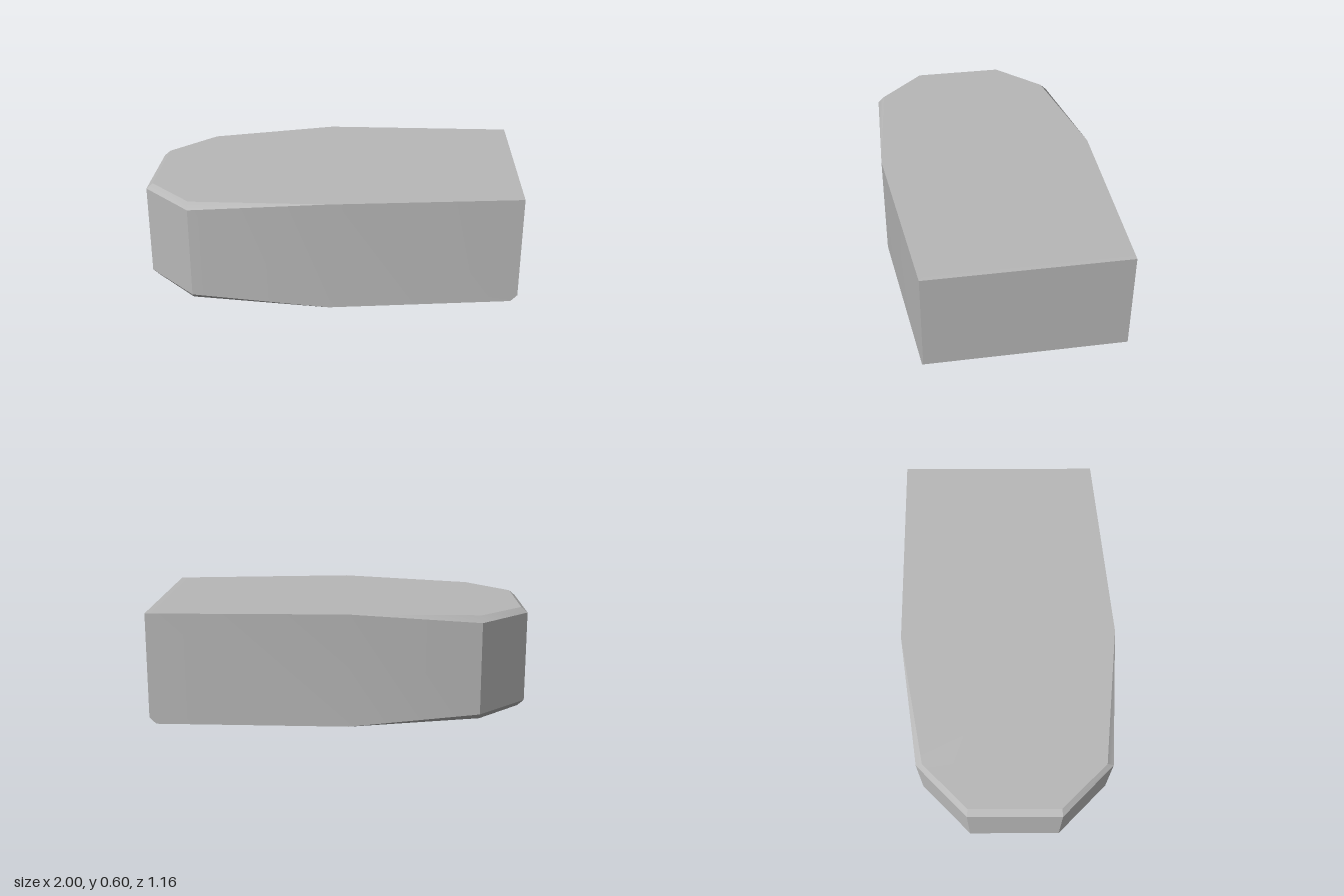
import * as THREE from 'three';
import { toCreasedNormals } from 'three/addons/utils/BufferGeometryUtils.js';

// Closed eight-sided rings, bottom to top; corners run from the tapered end round the back
const rings = [
  // bottom cap
  [[-0.965, 0.01, -0.21], [-0.73, 0.01, -0.45], [-0.04, 0, -0.58], [0.965, 0.008, -0.58],
    [0.965, 0.008, 0.476], [0, 0, 0.578], [-0.73, 0.01, 0.515], [-0.965, 0.01, 0.275]],
  // lower edge of the walls
  [[-1, 0.042, -0.215], [-0.73, 0.042, -0.485], [-0.04, 0, -0.58], [1, 0.042, -0.58],
    [1, 0.042, 0.472], [0, 0, 0.578], [-0.73, 0.042, 0.55], [-1, 0.042, 0.28]],
  // upper edge of the walls
  [[-1, 0.535, -0.215], [-0.73, 0.535, -0.485], [-0.04, 0.597, -0.58], [1, 0.597, -0.58],
    [1, 0.597, 0.472], [0, 0.597, 0.578], [-0.73, 0.535, 0.55], [-1, 0.535, 0.28]],
  // top cap
  [[-0.965, 0.565, -0.21], [-0.73, 0.569, -0.45], [-0.04, 0.597, -0.58], [1, 0.597, -0.58],
    [1, 0.597, 0.472], [0, 0.597, 0.578], [-0.73, 0.569, 0.515], [-0.965, 0.565, 0.275]],
];

function buildBlock() {
  const positions = [];
  const same = (a, b) => a.every((v, i) => v === b[i]);
  const tri = (a, b, c) => {
    if (!same(a, b) && !same(b, c) && !same(a, c)) positions.push(...a, ...b, ...c);
  };
  const quad = (a, b, c, d) => { tri(a, b, c); tri(a, c, d); };

  // walls and chamfers
  for (let r = 0; r < 3; r++) {
    const lo = rings[r], up = rings[r + 1];
    for (let i = 0; i < 8; i++) {
      const j = (i + 1) % 8;
      quad(lo[i], up[i], up[j], lo[j]);
    }
  }
  // caps, as strips running along the length
  const bottom = rings[0], top = rings[3];
  for (let i = 0; i < 3; i++) {
    quad(top[i], top[7 - i], top[6 - i], top[i + 1]);
    quad(bottom[i], bottom[i + 1], bottom[6 - i], bottom[7 - i]);
  }

  const geometry = new THREE.BufferGeometry();
  geometry.setAttribute('position', new THREE.Float32BufferAttribute(positions, 3));
  return toCreasedNormals(geometry, 0.5);
}

export function createModel() {
  const group = new THREE.Group();
  group.name = 'taperedBlock';
  const grey = new THREE.MeshStandardMaterial({ color: 0xb8b8b8 });
  grey.name = 'plainGrey';
  const block = new THREE.Mesh(buildBlock(), grey);
  block.name = 'blockBody';
  group.add(block);
  return group;
}
